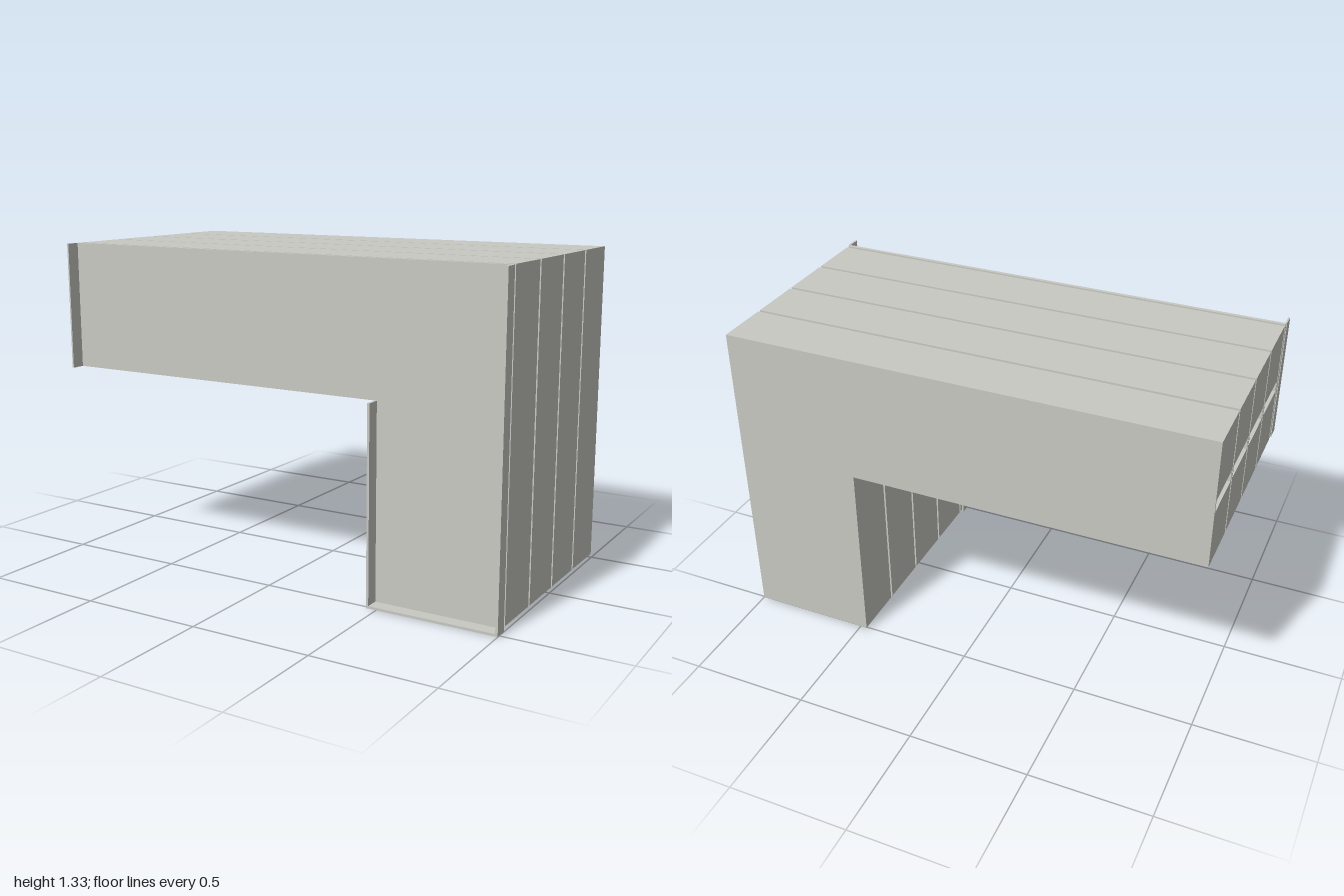
import * as THREE from 'three';

const X0 = -0.997, X1 = 0.992, LEG = 0.465, Y0 = 0.01, ARM = 0.802, TOP = 1.333;
const SLOT_LOW = 1.04, SLOT_HIGH = 1.09, SLOT_DEPTH = 0.06;

export function createModel() {
  const model = new THREE.Group();
  model.name = 'modularCabinet';
  const panelGrey = new THREE.MeshStandardMaterial({ color: 0xc9c9c3 });
  panelGrey.name = 'panelGrey';
  const darkGrey = new THREE.MeshStandardMaterial({ color: 0x4a5054 });
  darkGrey.name = 'darkGrey';

  // L-shaped slab between two z values, optionally with a slot in its free end
  function slab(name, z0, z1, parent, slotted = false) {
    const pts = [[X1, Y0], [X1, TOP], [X0, TOP]];
    if (slotted) {
      const xi = X0 + SLOT_DEPTH;
      pts.push([X0, SLOT_HIGH], [xi, SLOT_HIGH], [xi, SLOT_LOW], [X0, SLOT_LOW]);
    }
    pts.push([X0, ARM], [LEG, ARM], [LEG, Y0]);
    const shape = new THREE.Shape(pts.map(([x, y]) => new THREE.Vector2(x, y)));
    const geo = new THREE.ExtrudeGeometry(shape, { depth: z1 - z0, bevelEnabled: false });
    geo.translate(0, 0, z0);
    const mesh = new THREE.Mesh(geo, panelGrey);
    mesh.name = name;
    parent.add(mesh);
  }

  // Box given by its lower and upper corners
  function box(name, x0, x1, y0, y1, z0, z1, parent, material = panelGrey) {
    const mesh = new THREE.Mesh(new THREE.BoxGeometry(x1 - x0, y1 - y0, z1 - z0), material);
    mesh.position.set((x0 + x1) / 2, (y0 + y1) / 2, (z0 + z1) / 2);
    mesh.name = name;
    parent.add(mesh);
  }

  // Four modules side by side, each with a slot between thin side walls
  const width = 0.226, pitch = 0.239, wall = 0.008;
  for (let i = 0; i < 4; i++) {
    const z0 = -0.514 + i * pitch, z1 = z0 + width;
    const unit = new THREE.Group();
    unit.name = 'module' + (i + 1);
    slab('backWall', z0, z0 + wall, unit);
    slab('body', z0 + wall, z1 - wall, unit, true);
    slab('frontWall', z1 - wall, z1, unit);
    const xi = X0 + SLOT_DEPTH;
    box('slotBack', xi - 0.004, xi, SLOT_LOW, SLOT_HIGH, z0 + wall, z1 - wall, unit, darkGrey);

    // Stepped clip joining this module to the next one
    if (i < 3) {
      const zm = (z1 + z0 + pitch) / 2;
      box('clipUpper', 0.165, 0.225, 0.915, 0.95, z1, zm - 0.001, unit);
      box('clipLower', 0.165, 0.225, 0.895, 0.93, zm - 0.001, z0 + pitch, unit);
      // the upper hook sits against the rear module, the lower against the front one
      unit.children.at(-2).position.y = 0.9125;
      unit.children.at(-1).position.y = 0.9325;
      if (z1 < z0 + pitch) {
        const [a, b] = unit.children.slice(-2);
        [a.position.y, b.position.y] = [b.position.y, a.position.y];
      }
    }
    model.add(unit);
  }

  // Front cover with a rim round the leg and at the free end
  const cover = new THREE.Group();
  cover.name = 'frontCover';
  slab('coverPanel', 0.442, 0.458, cover);
  const zb = 0.458, zf = 0.514;
  box('endRim', -1, -0.993, ARM, TOP, zb, zf, cover);
  box('outerRim', 0.99, 1, 0, TOP, zb, zf, cover);
  box('innerRim', 0.456, 0.466, 0, ARM, zb, zf, cover);
  box('bottomRim', 0.466, 0.99, 0, 0.01, zb, zf, cover);
  model.add(cover);
  return model;
}
